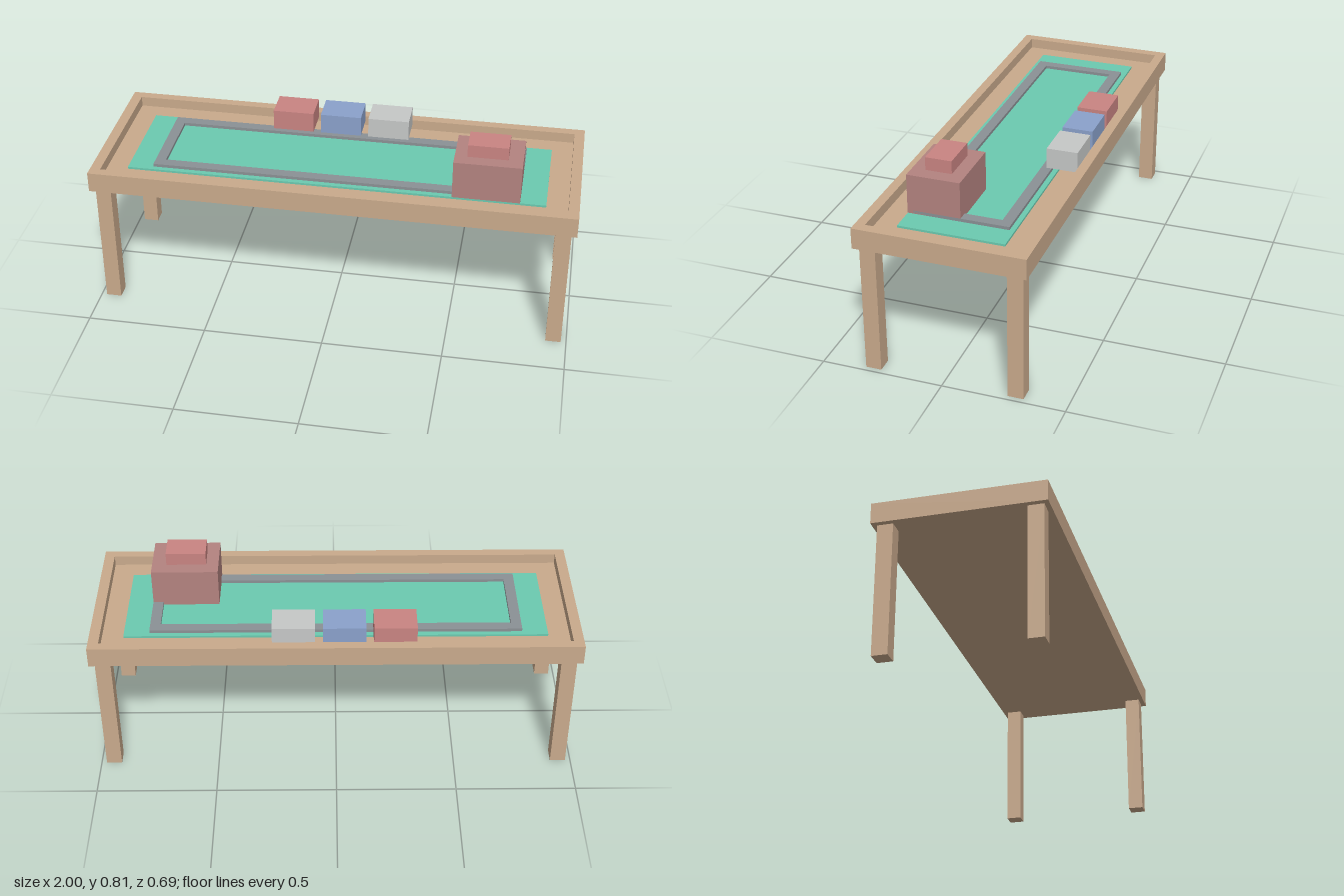
import * as THREE from 'three';

const paint = (name, color) => {
  const m = new THREE.MeshStandardMaterial({ color });
  m.name = name;
  return m;
};

export function createModel() {
  const model = new THREE.Group();
  model.name = 'displayTable';

  const wood = paint('wood', 0xc9aa8c);
  const green = paint('mat green', 0x6bcab0);
  const grey = paint('track grey', 0x8b9195);
  const brick = paint('station brick', 0xb38380);
  const red = paint('red', 0xc98482);
  const blue = paint('blue', 0x8aa1cb);
  const silver = paint('silver', 0xc6c8c7);

  const add = (name, geometry, material) => {
    const mesh = new THREE.Mesh(geometry, material);
    mesh.name = name;
    model.add(mesh);
    return mesh;
  };

  // Box given by its lower and upper limits on each axis
  const block = (name, material, [x0, x1], [y0, y1], [z0, z1]) =>
    add(name, new THREE.BoxGeometry(x1 - x0, y1 - y0, z1 - z0), material)
      .position.set((x0 + x1) / 2, (y0 + y1) / 2, (z0 + z1) / 2);

  // Flat rectangular ring lying in the xz plane
  const frame = (name, material, [ox, oz], [ix, iz], [y0, y1]) => {
    const rect = (path, x, z) =>
      path.moveTo(-x, -z).lineTo(x, -z).lineTo(x, z).lineTo(-x, z).closePath();
    const shape = rect(new THREE.Shape(), ox, oz);
    shape.holes.push(rect(new THREE.Path(), ix, iz));
    const geometry = new THREE.ExtrudeGeometry(shape, { depth: y1 - y0, bevelEnabled: false });
    geometry.rotateX(-Math.PI / 2).translate(0, y0, 0);
    add(name, geometry, material);
  };

  // Tray top: raised rim around a sunken floor
  frame('tableRim', wood, [1, 0.346], [0.957, 0.306], [0.545, 0.631]);
  block('tableFloor', wood, [-0.957, 0.957], [0.545, 0.588], [-0.306, 0.306]);

  // Legs
  for (const x of [-0.946, 0.946])
    for (const z of [-0.294, 0.294])
      block('leg', wood, [x - 0.032, x + 0.032], [0, 0.545], [z - 0.032, z + 0.032]);

  // Landscape mat and track loop
  block('mat', green, [-0.868, 0.868], [0.588, 0.597], [-0.217, 0.217]);
  frame('track', grey, [0.763, 0.196], [0.72, 0.153], [0.597, 0.61]);

  // Station building with roof block
  block('station', brick, [0.487, 0.763], [0.597, 0.761], [0.001, 0.218]);
  block('stationRoof', red, [0.538, 0.703], [0.761, 0.815], [0.056, 0.164]);

  // Row of wagons
  [red, blue, silver].forEach((material, i) => {
    const x = -0.24 + i * 0.206;
    block('wagon', material, [x - 0.087, x + 0.087], [0.61, 0.697], [-0.304, -0.174]);
  });

  return model;
}
